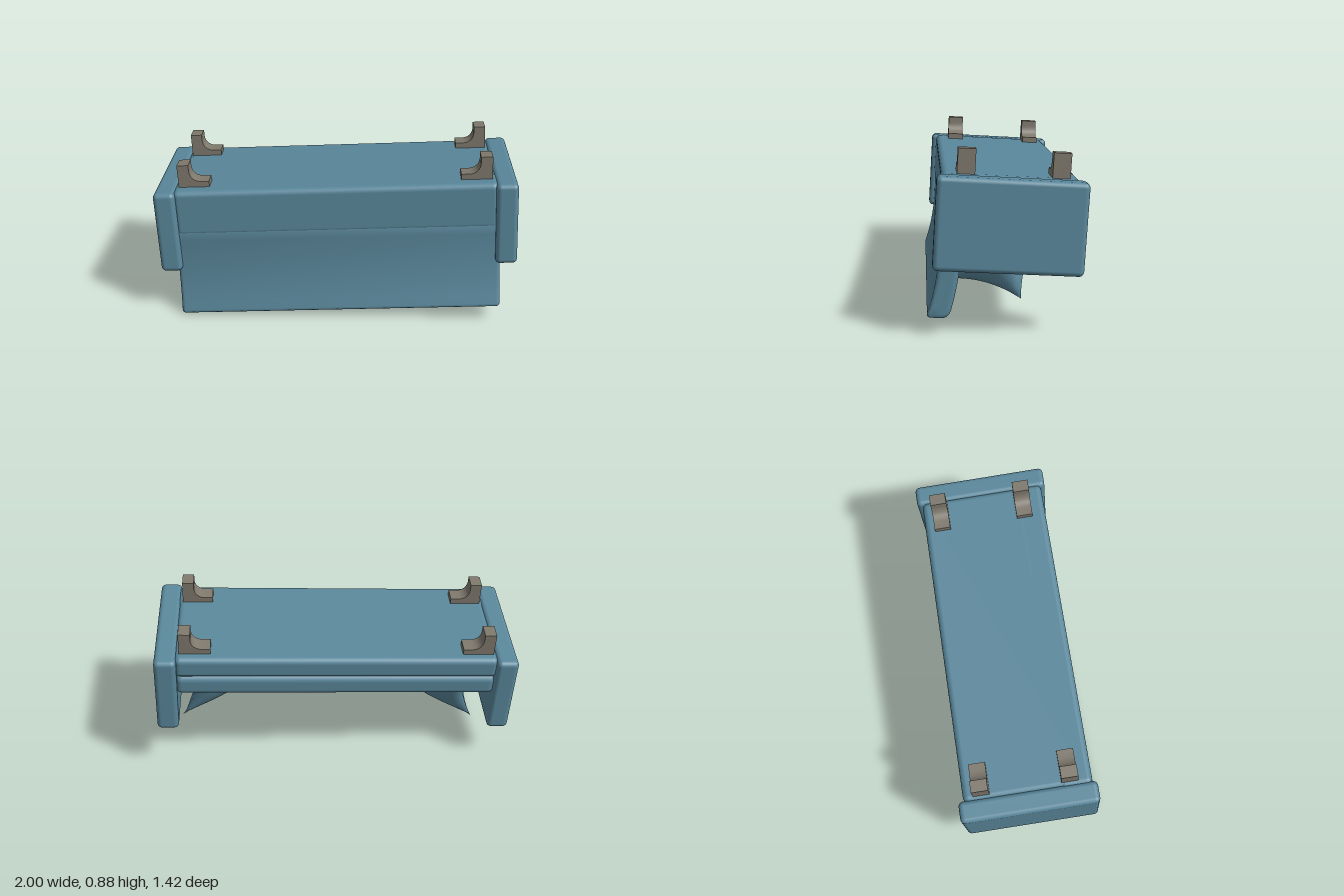
import * as THREE from 'three';
import { mergeGeometries, mergeVertices, toCreasedNormals } from 'three/addons/utils/BufferGeometryUtils.js';
import { RoundedBoxGeometry } from 'three/addons/geometries/RoundedBoxGeometry.js';

const fabric = new THREE.MeshStandardMaterial({ color: 0x5a889c });
fabric.name = 'blue fabric';
const wood = new THREE.MeshStandardMaterial({ color: 0x7f796d });
wood.name = 'grey wood';

function addMesh(parent, name, geometry, material) {
  const mesh = new THREE.Mesh(geometry, material);
  mesh.name = name;
  parent.add(mesh);
  return mesh;
}

// Rounded block given by its x, y and z ranges
function addBlock(parent, name, [x0, x1], [y0, y1], [z0, z1], radius) {
  const geometry = new RoundedBoxGeometry(x1 - x0, y1 - y0, z1 - z0, 4, radius);
  const mesh = addMesh(parent, name, geometry, fabric);
  mesh.position.set((x0 + x1) / 2, (y0 + y1) / 2, (z0 + z1) / 2);
}

// Side profile (drawn as z, y) extruded across x
function extrudeAcross(shape, width, bevel) {
  const geometry = new THREE.ExtrudeGeometry(shape, {
    depth: width - 2 * bevel, curveSegments: 10, bevelEnabled: bevel > 0,
    bevelSize: bevel, bevelThickness: bevel, bevelOffset: -bevel, bevelSegments: 4,
  });
  geometry.translate(0, 0, bevel - width / 2);
  geometry.rotateY(-Math.PI / 2);
  return toCreasedNormals(geometry, 0.6);
}

// Backrest that sweeps backwards near its top
function backrestGeometry() {
  const s = new THREE.Shape();
  s.moveTo(-0.2, 0.2);
  s.lineTo(-0.25, 0.23);
  s.quadraticCurveTo(-0.25, 0.48, -0.288, 0.645);
  s.quadraticCurveTo(-0.297, 0.69, -0.335, 0.69);
  s.lineTo(-0.38, 0.69);
  s.quadraticCurveTo(-0.408, 0.69, -0.4, 0.665);
  s.quadraticCurveTo(-0.345, 0.47, -0.365, 0.23);
  s.lineTo(-0.35, 0.2);
  s.closePath();
  return extrudeAcross(s, 1.69, 0.02);
}

// Pillow: two bulging sheets with drawn-in sides and pointed corners
function pillowGeometry(width, height, thickness) {
  const sheets = [1, -1].map((side) => {
    const g = new THREE.PlaneGeometry(2, 2, 20, 20);
    const p = g.attributes.position;
    for (let i = 0; i < p.count; i++) {
      const s = p.getX(i), t = p.getY(i);
      const bulge = Math.pow(Math.max(0, (1 - s * s) * (1 - t * t)), 0.65);
      p.setXYZ(i,
        side * s * width / 2 * (1 - 0.15 * (1 - t * t)),
        t * height / 2 * (1 - 0.15 * (1 - s * s)),
        side * bulge * thickness / 2);
    }
    g.deleteAttribute('normal');
    g.deleteAttribute('uv');
    return g;
  });
  const g = mergeVertices(mergeGeometries(sheets), 1e-4);
  g.computeVertexNormals();
  return g;
}

// Foot: upright block flowing through a hollow curve into a low plate
function legGeometry() {
  const s = new THREE.Shape();
  s.moveTo(0, 0.01);
  s.lineTo(0, -0.12);
  s.lineTo(0.06, -0.12);
  s.lineTo(0.06, -0.085);
  s.quadraticCurveTo(0.065, -0.035, 0.115, -0.03);
  s.lineTo(0.16, -0.03);
  s.lineTo(0.16, 0.01);
  s.closePath();
  const g = new THREE.ExtrudeGeometry(s, { depth: 0.085, bevelEnabled: false, curveSegments: 8 });
  g.translate(0, 0, -0.0425);
  return toCreasedNormals(g, 0.5);
}

export function createModel() {
  const model = new THREE.Group();
  model.name = 'overturnedSofa';
  const sofa = new THREE.Group();
  sofa.name = 'sofa';
  model.add(sofa);

  // Seat and back, built upright with the front at +z
  addBlock(sofa, 'base', [-0.83, 0.83], [0, 0.118], [-0.36, 0.29], 0.03);
  addBlock(sofa, 'seatCushion', [-0.83, 0.83], [0.112, 0.23], [-0.3, 0.29], 0.035);
  addBlock(sofa, 'lowerBack', [-0.835, 0.835], [0, 0.25], [-0.367, -0.2], 0.03);
  addMesh(sofa, 'backrest', backrestGeometry(), fabric);

  const leg = legGeometry();
  for (const side of [-1, 1]) {
    const name = side > 0 ? 'left' : 'right';
    const xs = side > 0 ? [0.82, 0.932] : [-0.932, -0.82];
    addBlock(sofa, name + 'Arm', xs, [0, 0.443], [-0.39, 0.317], 0.025);
    for (const [end, z] of [['Front', 0.195], ['Back', -0.253]]) {
      const foot = addMesh(sofa, name + end + 'Leg', leg, wood);
      foot.position.set(side * 0.808, 0, z);
      foot.rotation.y = side > 0 ? Math.PI : 0;
    }
  }

  // Throw pillows: one in each corner and one in the middle
  const pillow = pillowGeometry(0.47, 0.38, 0.16);
  for (const [name, x, z, turn] of [
    ['rightPillow', -0.58, -0.055, 0.76],
    ['middlePillow', 0.045, -0.12, 0],
    ['leftPillow', 0.6, -0.075, -0.76],
  ]) {
    const mesh = addMesh(sofa, name, pillow, fabric);
    mesh.position.set(x, 0.405, z);
    mesh.rotation.set(-0.35, turn, 0, 'YXZ');
  }

  // Turn the sofa upside down, with a slight tilt and turn
  const along = new THREE.Vector3(0.907, 0.047, -0.419).normalize();
  const back = new THREE.Vector3(0.419, 0.063, 0.907);
  const up = back.clone().cross(along).normalize();
  back.crossVectors(along, up);
  const pose = new THREE.Matrix4().makeBasis(along, up.negate(), back.negate());
  sofa.quaternion.setFromRotationMatrix(pose);
  sofa.position.set(-0.028, 0.703, -0.036);
  return model;
}
